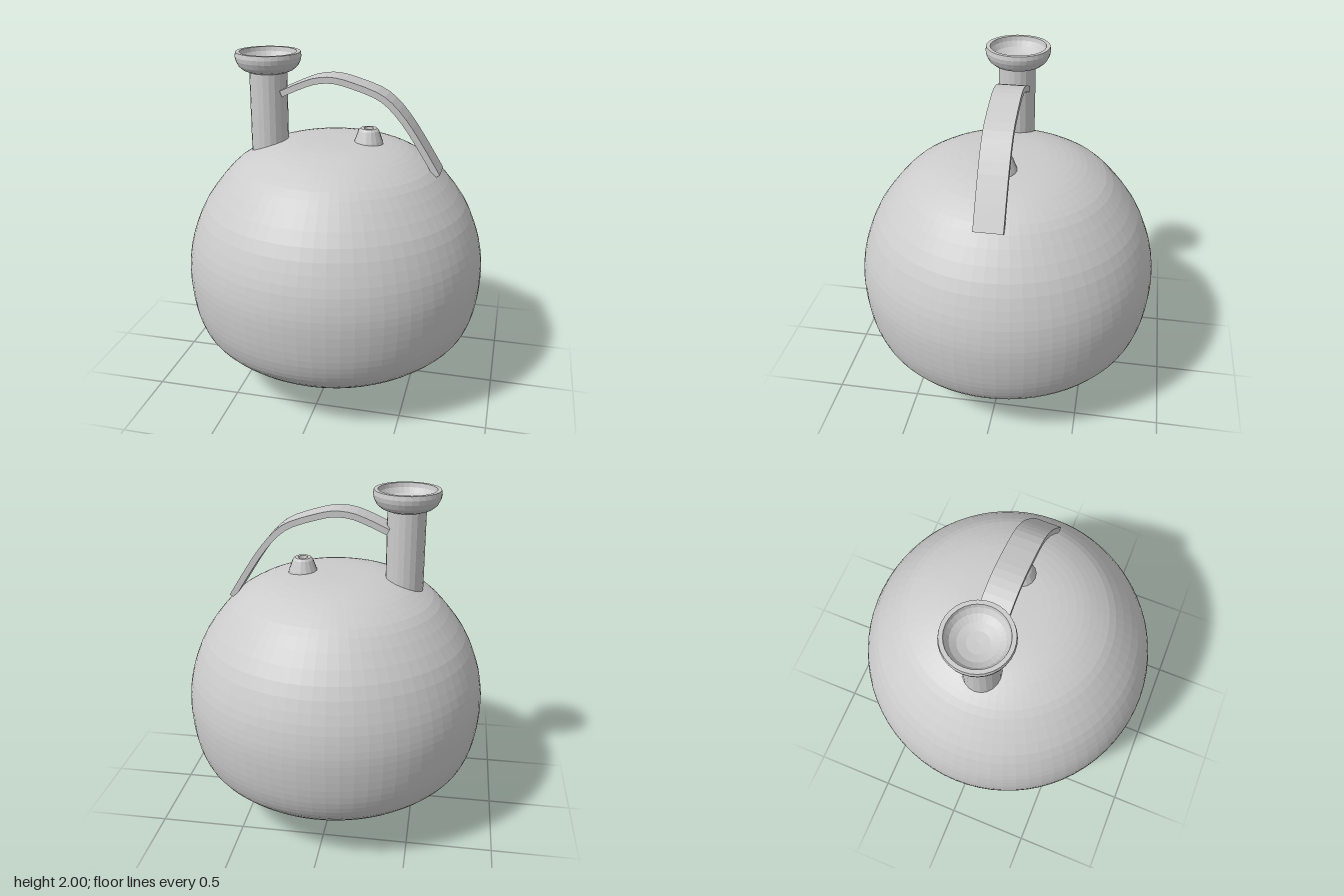
import * as THREE from 'three';

const material = new THREE.MeshStandardMaterial({ color: 0xcccccc, flatShading: true, side: THREE.DoubleSide });
const vectors = (points) => points.map(([a, b]) => new THREE.Vector2(a, b));

export function createModel() {
  const group = new THREE.Group();
  const add = (name, geometry, x = 0, y = 0, z = 0) => {
    const mesh = new THREE.Mesh(geometry, material);
    mesh.name = name;
    mesh.position.set(x, y, z);
    group.add(mesh);
  };

  // Squat round vessel, widest below the middle
  const bodyCurve = new THREE.SplineCurve(vectors([
    [0, 0.085], [0.25, 0.088], [0.39, 0.1], [0.52, 0.148], [0.68, 0.24], [0.8, 0.345],
    [0.85, 0.44], [0.878, 0.56], [0.89, 0.71], [0.882, 0.83], [0.85, 0.965], [0.77, 1.145],
    [0.62, 1.335], [0.51, 1.415], [0.4, 1.465], [0.27, 1.495], [0.13, 1.506], [0, 1.508],
  ]));
  const profile = bodyCurve.getPoints(48);
  profile[0].x = profile[48].x = 0;
  add('body', new THREE.LatheGeometry(profile, 72));

  // Foot disc under the body
  add('foot', new THREE.CylinderGeometry(0.245, 0.245, 0.14, 20), -0.012, 0.07, -0.007);

  // Neck with a cupped mouth
  add('neck', new THREE.CylinderGeometry(0.11, 0.11, 0.6, 20), -0.4, 1.6, 0.01);
  add('mouth', new THREE.LatheGeometry(vectors([
    [0, 1.885], [0.115, 1.885], [0.145, 1.897], [0.172, 1.92], [0.187, 1.95], [0.192, 1.975],
    [0.188, 2], [0.165, 2], [0.16, 1.975], [0.14, 1.945], [0.105, 1.922], [0.06, 1.909], [0, 1.905],
  ]), 32), -0.4, 0, 0.005);

  // Small tapered spout with a shallow hole
  add('spout', new THREE.LatheGeometry(vectors([
    [0.098, 1.45], [0.082, 1.51], [0.06, 1.57], [0.048, 1.583], [0.028, 1.583], [0.022, 1.55], [0, 1.55],
  ]), 16), 0.195, 0, 0);

  // Flat strap handle arching from neck to shoulder
  const path = new THREE.SplineCurve(vectors([
    [-0.305, 1.772], [-0.2, 1.82], [-0.1, 1.856], [0, 1.864], [0.1, 1.843], [0.25, 1.793],
    [0.34, 1.73], [0.43, 1.625], [0.52, 1.49], [0.61, 1.345],
  ]));
  const upper = [], lower = [];
  for (let i = 0; i <= 20; i++) {
    const p = path.getPoint(i / 20), t = path.getTangent(i / 20);
    const normal = new THREE.Vector2(-t.y, t.x).multiplyScalar(0.018);
    upper.push(p.clone().add(normal));
    lower.unshift(p.clone().sub(normal));
  }
  const strap = new THREE.Shape([...upper, ...lower]);
  add('handle', new THREE.ExtrudeGeometry(strap, { depth: 0.165, bevelEnabled: false }), 0, 0, -0.08);

  return group;
}
